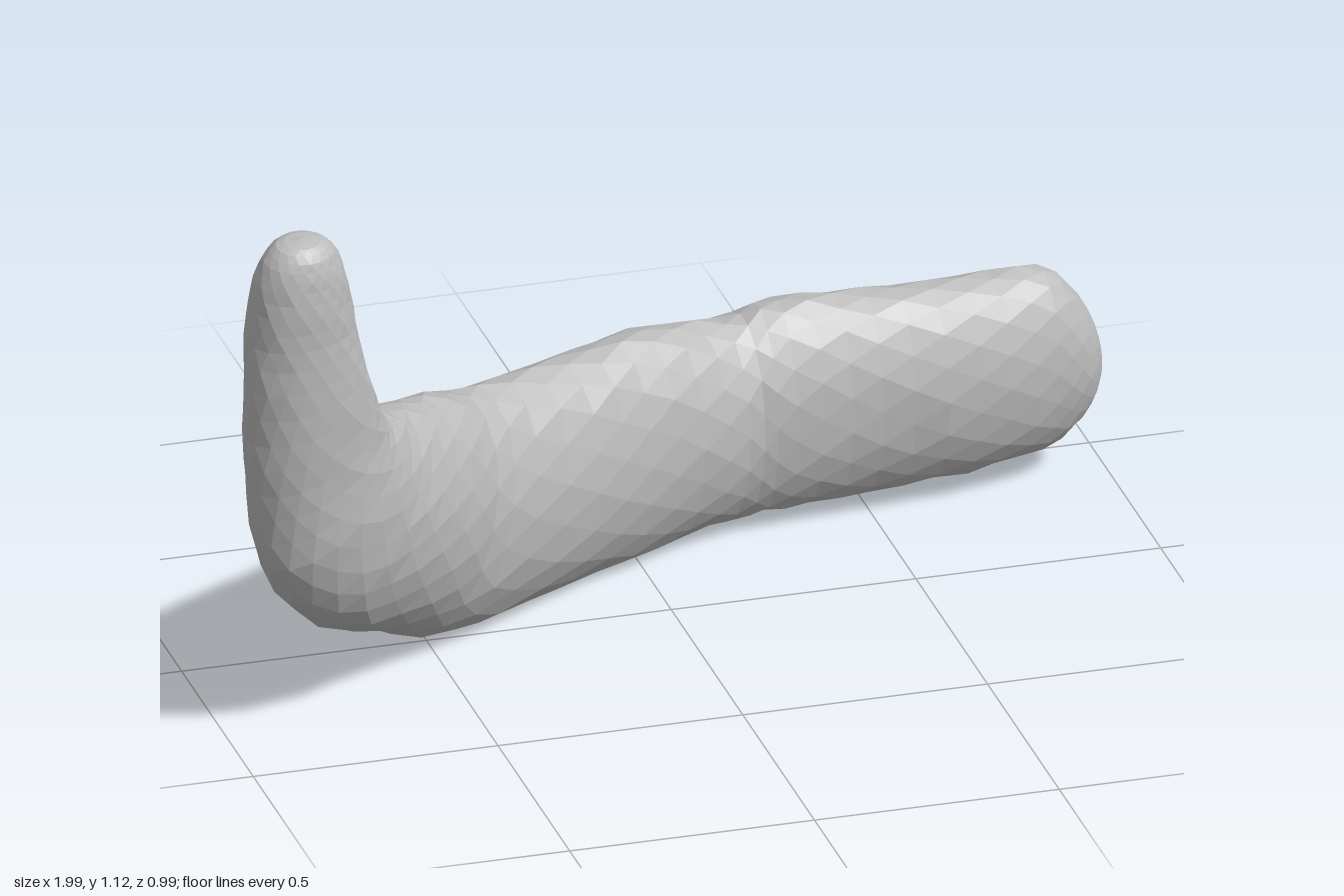
import * as THREE from 'three';

// Cross-sections from the upright tip to the far end:
// outer/bottom point, inner/top point, half width across the bend
const STATIONS = [
  [[-0.882, 1.12, 0.425], [-0.878, 1.12, 0.424], 0.002],
  [[-0.93, 1.108, 0.435], [-0.825, 1.108, 0.41], 0.045],
  [[-0.965, 1.06, 0.44], [-0.795, 1.06, 0.39], 0.07],
  [[-0.983, 0.98, 0.435], [-0.775, 0.98, 0.377], 0.083],
  [[-0.988, 0.86, 0.43], [-0.755, 0.88, 0.362], 0.089],
  [[-0.985, 0.69, 0.42], [-0.722, 0.765, 0.34], 0.095],
  [[-0.965, 0.52, 0.415], [-0.69, 0.67, 0.283], 0.106],
  [[-0.915, 0.355, 0.395], [-0.65, 0.615, 0.215], 0.122],
  [[-0.81, 0.22, 0.31], [-0.585, 0.583, 0.115], 0.135],
  [[-0.65, 0.113, 0.145], [-0.49, 0.545, 0.025], 0.14],
  [[-0.48, 0.018, -0.005], [-0.37, 0.497, -0.085], 0.138],
  [[-0.2, 0.003, -0.172], [-0.17, 0.482, -0.19], 0.13],
  [[0.02, 0.016, -0.265], [0.02, 0.48, -0.28], 0.122],
  [[0.2, 0.026, -0.33], [0.2, 0.452, -0.342], 0.116],
  [[0.32, 0.03, -0.345], [0.32, 0.472, -0.355], 0.116],
  [[0.5, 0.035, -0.36], [0.5, 0.46, -0.365], 0.115],
  [[0.7, 0.043, -0.375], [0.7, 0.458, -0.375], 0.116],
  [[0.87, 0.06, -0.4], [0.87, 0.447, -0.4], 0.096],
  [[0.95, 0.11, -0.41], [0.95, 0.375, -0.41], 0.068],
  [[0.988, 0.175, -0.415], [0.988, 0.288, -0.415], 0.035],
  [[1.0, 0.228, -0.415], [1.0, 0.232, -0.415], 0.002],
];
const SIDES = 18;
const RINGS = (STATIONS.length - 1) * 3;

// Small seeded generator for the uneven hand-shaped surface
function seeded(seed) {
  return () => {
    seed = (seed * 16807) % 2147483647;
    return seed / 2147483647 - 0.5;
  };
}

function smoothCurve(points) {
  return new THREE.CatmullRomCurve3(points, false, 'catmullrom', 0.5);
}

// Loft of oval rings through the stations
function bentRodGeometry() {
  const outer = smoothCurve(STATIONS.map(s => new THREE.Vector3(...s[0])));
  const inner = smoothCurve(STATIONS.map(s => new THREE.Vector3(...s[1])));
  const width = smoothCurve(STATIONS.map(s => new THREE.Vector3(s[2], 0, 0)));
  const rand = seeded(77);
  const centre = t => outer.getPoint(t).add(inner.getPoint(t)).multiplyScalar(0.5);
  const positions = [];
  const index = [];

  for (let i = 0; i <= RINGS; i++) {
    const t = i / RINGS;
    const c = centre(t);
    const along = centre(Math.min(1, t + 0.025)).sub(centre(Math.max(0, t - 0.025)));
    const up = inner.getPoint(t).sub(outer.getPoint(t)).multiplyScalar(0.5);
    const side = along.cross(up).normalize().multiplyScalar(width.getPoint(t).x);
    for (let j = 0; j < SIDES; j++) {
      const a = ((j + (i % 2) * 0.5) / SIDES) * Math.PI * 2;
      const bump = 1.005 + rand() * 0.035;
      const p = c.clone()
        .addScaledVector(up, Math.cos(a) * bump)
        .addScaledVector(side, Math.sin(a) * bump);
      positions.push(p.x, Math.max(0, p.y), p.z);
    }
  }

  for (let i = 0; i < RINGS; i++) {
    for (let j = 0; j < SIDES; j++) {
      const k = (j + 1) % SIDES;
      const a = i * SIDES + j, b = i * SIDES + k;
      const c = a + SIDES, d = b + SIDES;
      // Alternate rings are turned by half a step, so the diagonals alternate
      if (i % 2) index.push(a, b, d, a, d, c);
      else index.push(a, b, c, b, d, c);
    }
  }

  // Close the two tiny end rings
  const last = RINGS * SIDES;
  for (let j = 1; j < SIDES - 1; j++) {
    index.push(0, j + 1, j, last, last + j, last + j + 1);
  }

  const geometry = new THREE.BufferGeometry();
  geometry.setAttribute('position', new THREE.Float32BufferAttribute(positions, 3));
  geometry.setIndex(index);
  geometry.computeVertexNormals();
  return geometry;
}

export function createModel() {
  const group = new THREE.Group();
  group.name = 'bentRod';
  const grey = new THREE.MeshStandardMaterial({ color: 0xbbbbbb, flatShading: true });
  grey.name = 'light grey';
  const rod = new THREE.Mesh(bentRodGeometry(), grey);
  rod.name = 'rod';
  group.add(rod);
  return group;
}
